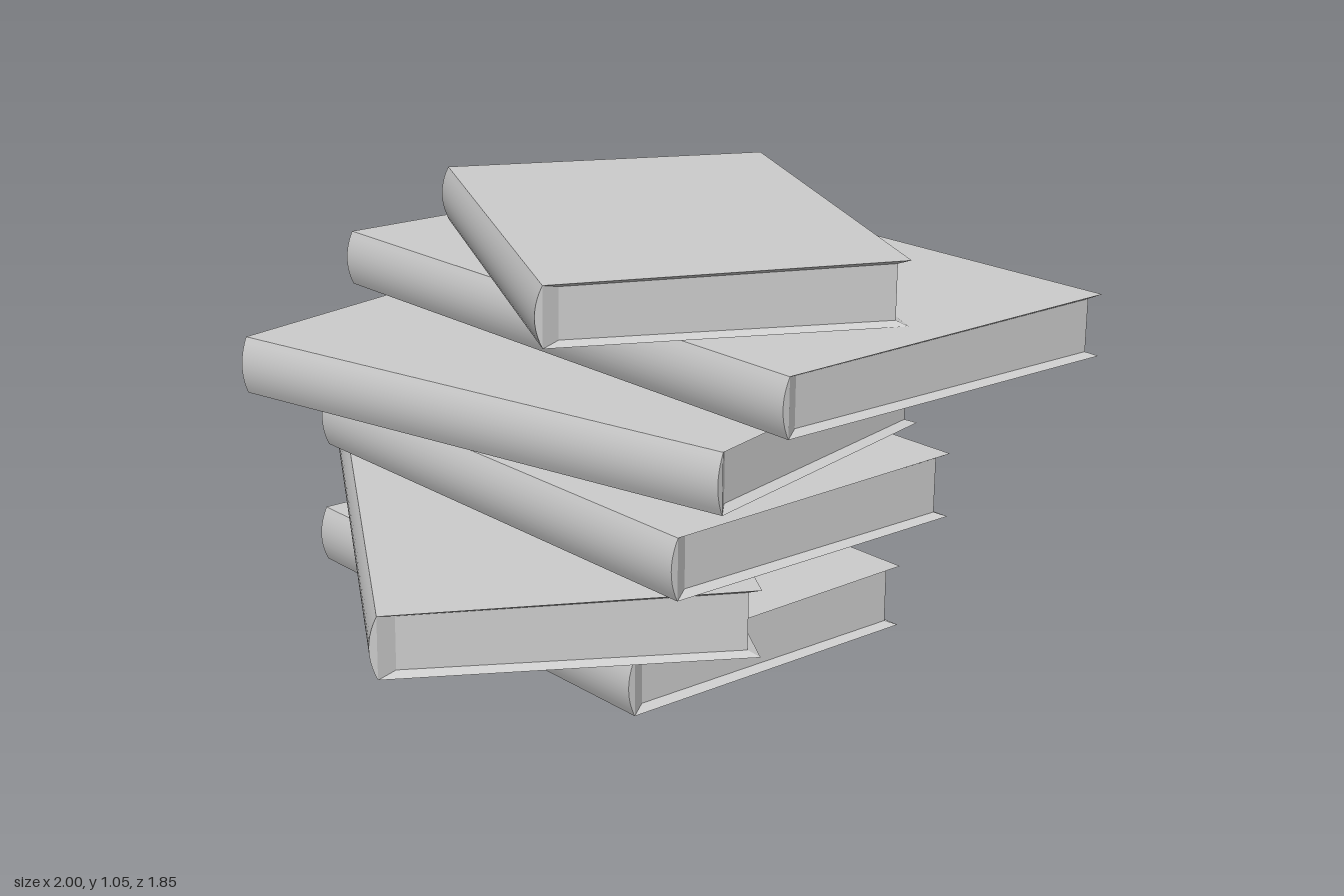
import * as THREE from 'three';
import { toCreasedNormals } from 'three/addons/utils/BufferGeometryUtils.js';

const material = new THREE.MeshStandardMaterial({ color: 0xcccccc });

const BULGE = 0.02;   // depth of the rounded spine
const FAN = 0.006;    // covers open slightly towards the fore edge
const TAPER = 0.02;   // covers narrow slightly towards the fore edge
const BEVEL = 0.012;  // thickness of a cover where it meets the pages

function mesh(name, geometry) {
  const m = new THREE.Mesh(geometry, material);
  m.name = name;
  return m;
}

// Solid between two matching quads; a runs counter-clockwise seen from outside
function frustum(a, b) {
  const pos = [];
  const quad = (p, q, r, s) => pos.push(...p, ...q, ...r, ...p, ...r, ...s);
  quad(a[0], a[1], a[2], a[3]);
  quad(b[3], b[2], b[1], b[0]);
  for (let i = 0; i < 4; i++) {
    const j = (i + 1) % 4;
    quad(a[j], a[i], b[i], b[j]);
  }
  const g = new THREE.BufferGeometry();
  g.setAttribute('position', new THREE.Float32BufferAttribute(pos, 3));
  g.computeVertexNormals();
  return g;
}

// Horizontal tapered quad, counter-clockwise seen from above
function sheet(x0, x1, yBack, yFore, zBack, zFore) {
  return [[x0, yBack, zBack], [x1, yFore, zFore], [x1, yFore, -zFore], [x0, yBack, -zBack]];
}

// Spine runs along z at x = 0, pages extend towards +x
function createBook(length, depth, height) {
  const book = new THREE.Group();
  const half = length / 2;
  const low = FAN, high = height - FAN;

  const top = sheet(BULGE, depth, high, height, half, half - TAPER);
  const bottom = sheet(BULGE, depth, low, 0, half, half - TAPER);
  const pageX0 = BULGE + 0.045, pageX1 = depth - 0.028;
  const pageTop = sheet(pageX0, pageX1, high - BEVEL, height - BEVEL, half - 0.027, half - TAPER - 0.022);
  const pageBottom = sheet(pageX0, pageX1, low + BEVEL, BEVEL, half - 0.027, half - TAPER - 0.022);

  // Covers with edges bevelled in towards the pages
  book.add(mesh('topCover', frustum(top, pageTop)));
  book.add(mesh('bottomCover', frustum([...bottom].reverse(), [...pageBottom].reverse())));
  book.add(mesh('pages', frustum(pageTop, pageBottom)));

  // Inner spine, bevelled in to the bound edge of the pages
  const spineFace = (t, b) => [b[3], b[0], t[0], t[3]];
  book.add(mesh('innerSpine', frustum(spineFace(top, bottom), spineFace(pageTop, pageBottom))));

  // Rounded outer spine
  const profile = new THREE.Shape();
  profile.moveTo(BULGE, low);
  profile.quadraticCurveTo(-BULGE, height / 2, BULGE, high);
  profile.closePath();
  const round = new THREE.ExtrudeGeometry(profile, { depth: length, bevelEnabled: false, curveSegments: 10 });
  round.translate(0, 0, -half);
  book.add(mesh('roundedSpine', toCreasedNormals(round, 0.6)));
  return book;
}

// Spine back end x, z; spine front end x, z; depth; base y; height
const BOOKS = [
  [-0.42, -0.685, -0.42, 0.69, 0.95, 0, 0.168],
  [-0.20, -0.925, -1.0, 0.43, 0.947, 0.17, 0.174],
  [-0.455, -0.605, -0.455, 0.885, 0.948, 0.373, 0.17],
  [-0.67, -0.66, -0.31, 0.88, 0.935, 0.55, 0.17],
  [-0.15, -0.925, -0.15, 0.925, 1.15, 0.718, 0.168],
  [0.13, -0.84, -0.48, 0.40, 0.957, 0.884, 0.17],
];

export function createModel() {
  const stack = new THREE.Group();
  stack.name = 'bookStack';
  BOOKS.forEach(([x1, z1, x2, z2, depth, y, height], i) => {
    const book = createBook(Math.hypot(x2 - x1, z2 - z1), depth, height);
    book.name = `book${i + 1}`;
    book.position.set((x1 + x2) / 2, y, (z1 + z2) / 2);
    book.rotation.y = Math.atan2(x2 - x1, z2 - z1);
    stack.add(book);
  });
  return stack;
}
